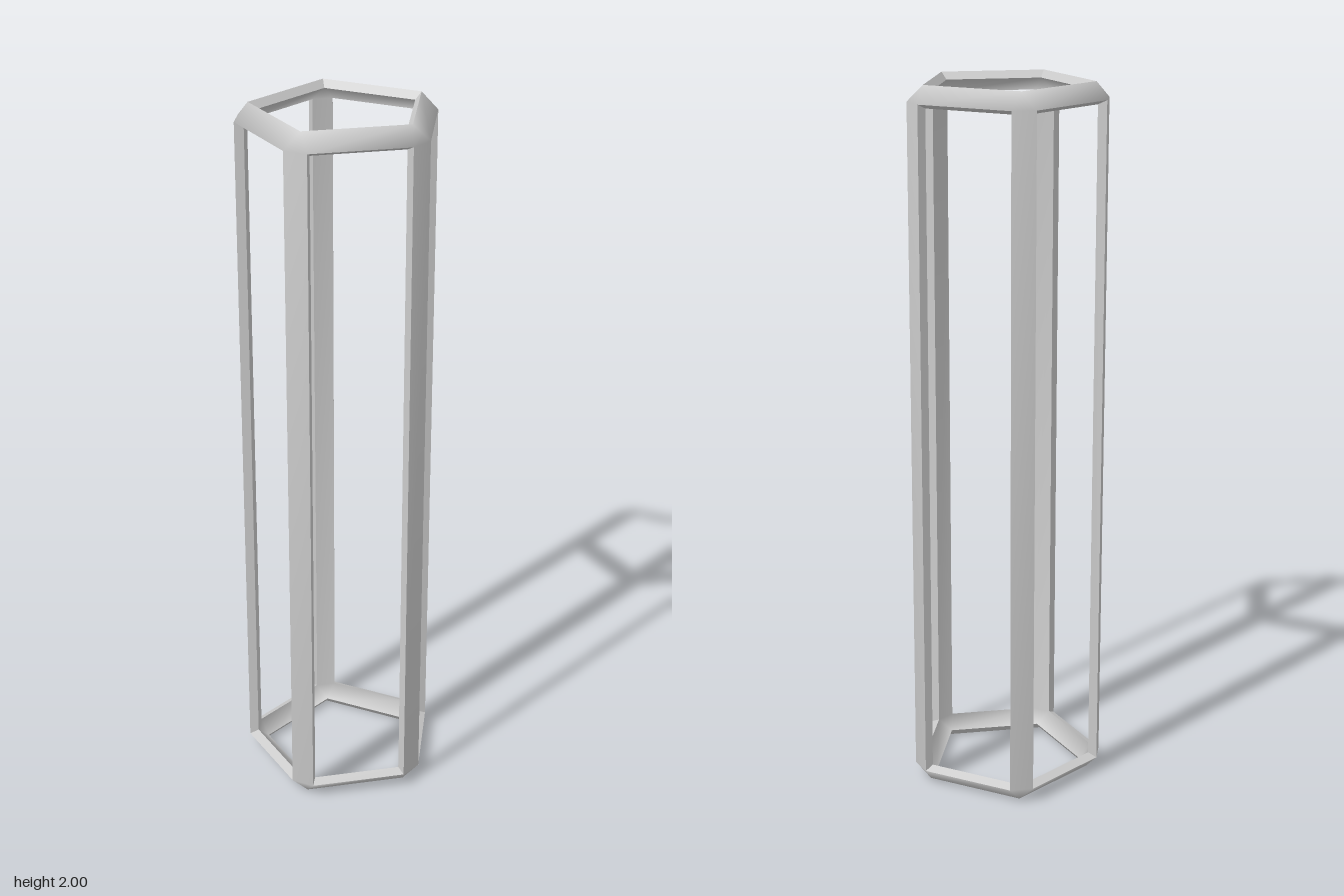
import * as THREE from 'three';

const SIDES = 5, CX = -0.0166;

// Corner points of one layer: P on the end ring, A and B on the two long edges of each post.
function makeLayer({ ringR, ringY, postR, half, postY }) {
  const corner = (k, top, kind) => {
    const a = ((k % SIDES) * 2 * Math.PI) / SIDES;
    const r = kind === 'P' ? ringR : postR;
    const t = kind === 'P' ? 0 : kind === 'A' ? half : -half;
    const y = kind === 'P' ? ringY : postY;
    return [
      CX + r * Math.cos(a) - t * Math.sin(a),
      top ? y : 2 - y,
      -r * Math.sin(a) - t * Math.cos(a),
    ];
  };
  return corner;
}

const outer = makeLayer({ ringR: 0.243, ringY: 2, postR: 0.275, half: 0.033, postY: 1.955 });
const inner = makeLayer({ ringR: 0.2236, ringY: 1.98, postR: 0.25, half: 0.028, postY: 1.943 });

// Polygons with shared corners become one smooth surface.
function surface(polys, smooth) {
  const pos = [], index = [], seen = new Map();
  const add = (p) => {
    const key = p.map((v) => v.toFixed(5)).join();
    if (smooth && seen.has(key)) return seen.get(key);
    seen.set(key, pos.length / 3);
    pos.push(...p);
    return pos.length / 3 - 1;
  };
  for (const poly of polys) {
    const ids = poly.map(add);
    for (let i = 1; i < ids.length - 1; i++) index.push(ids[0], ids[i], ids[i + 1]);
  }
  const g = new THREE.BufferGeometry();
  g.setAttribute('position', new THREE.Float32BufferAttribute(pos, 3));
  g.setIndex(index);
  g.computeVertexNormals();
  return g;
}

// Posts, bevelled ring strips and corner triangles of one layer, facing outward.
function shell(c) {
  const polys = [];
  for (let k = 0; k < SIDES; k++) {
    polys.push([c(k, false, 'B'), c(k, false, 'A'), c(k, true, 'A'), c(k, true, 'B')]);
    for (const top of [true, false]) {
      const strip = [c(k, top, 'A'), c(k + 1, top, 'B'), c(k + 1, top, 'P'), c(k, top, 'P')];
      const tri = [c(k, top, 'B'), c(k, top, 'A'), c(k, top, 'P')];
      polys.push(top ? strip : strip.reverse(), top ? tri : tri.reverse());
    }
  }
  return polys;
}

// Opening outlines, counter-clockwise seen from outside.
function openings(c) {
  const ring = (top) => Array.from({ length: SIDES }, (_, k) => c(k, top, 'P'));
  const loops = [ring(true), ring(false).reverse()];
  for (let k = 0; k < SIDES; k++)
    loops.push([c(k, false, 'A'), c(k + 1, false, 'B'), c(k + 1, true, 'B'), c(k, true, 'A')]);
  return loops;
}

export function createModel() {
  const group = new THREE.Group();
  group.name = 'pentagonalFrame';
  const material = new THREE.MeshStandardMaterial({ color: 0xcccccc });
  const add = (name, geometry) => {
    const mesh = new THREE.Mesh(geometry, material);
    mesh.name = name;
    group.add(mesh);
  };

  // Bevelled outside and inside of the frame
  add('outerFrame', surface(shell(outer), true));
  add('innerFrame', surface(shell(inner).map((p) => p.reverse()), true));

  // Thickness around every opening
  const walls = [];
  const inside = openings(inner);
  openings(outer).forEach((loop, n) => loop.forEach((v, i) => {
    const j = (i + 1) % loop.length;
    walls.push([v, loop[j], inside[n][j], inside[n][i]]);
  }));
  add('openingEdges', surface(walls, false));

  return group;
}
